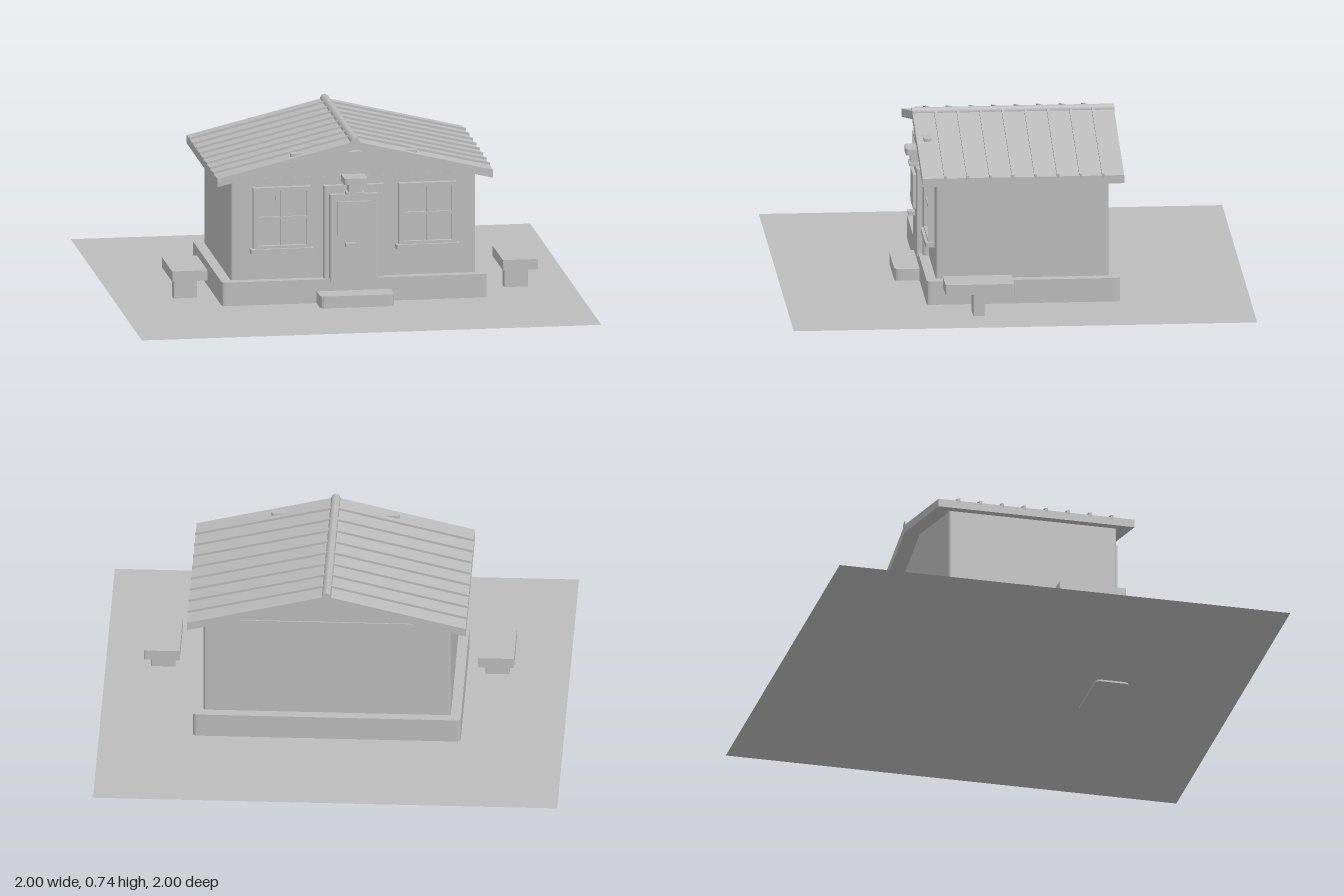
import * as THREE from 'three';

const material = new THREE.MeshStandardMaterial({ color: 0xbcbcbc });
material.name = 'plain grey';
const groundMaterial = material.clone();
groundMaterial.name = 'plain grey two sided';
groundMaterial.side = THREE.DoubleSide;

function add(parent, name, geometry, mat = material) {
  const mesh = new THREE.Mesh(geometry, mat);
  mesh.name = name;
  parent.add(mesh);
  return mesh;
}

// Box given by its limits
function box(parent, name, x0, x1, y0, y1, z0, z1) {
  const g = new THREE.BoxGeometry(x1 - x0, y1 - y0, z1 - z0);
  g.translate((x0 + x1) / 2, (y0 + y1) / 2, (z0 + z1) / 2);
  return add(parent, name, g);
}

// Box with rounded upright edges; rBack rounds the -z corners
function block(parent, name, x0, x1, y0, y1, z0, z1, r, rBack = r) {
  const s = new THREE.Shape();
  // shape y is -z, so the front edge lies at -z1
  s.moveTo(x0 + r, -z1);
  s.lineTo(x1 - r, -z1);
  s.quadraticCurveTo(x1, -z1, x1, -z1 + r);
  s.lineTo(x1, -z0 - rBack);
  if (rBack) s.quadraticCurveTo(x1, -z0, x1 - rBack, -z0);
  s.lineTo(x0 + rBack, -z0);
  if (rBack) s.quadraticCurveTo(x0, -z0, x0, -z0 - rBack);
  s.lineTo(x0, -z1 + r);
  s.quadraticCurveTo(x0, -z1, x0 + r, -z1);
  const g = new THREE.ExtrudeGeometry(s, { depth: y1 - y0, bevelEnabled: false, curveSegments: 4 });
  g.rotateX(-Math.PI / 2).translate(0, y0, 0);
  return add(parent, name, g);
}

// Outline in x and y, drawn out from z0 to z1
function slab(parent, name, points, z0, z1) {
  const s = new THREE.Shape(points.map(([x, y]) => new THREE.Vector2(x, y)));
  const g = new THREE.ExtrudeGeometry(s, { depth: z1 - z0, bevelEnabled: false });
  g.translate(0, 0, z0);
  return add(parent, name, g);
}

function addWindow(house, cx) {
  const w = new THREE.Group();
  w.name = 'window';
  house.add(w);
  const x0 = cx - 0.125, x1 = cx + 0.125;
  box(w, 'glass', x0, x1, 0.25, 0.52, 0.35, 0.362);
  for (const s of [-1, 1]) {
    const x = cx + s * 0.116;
    box(w, 'sideFrame', x - 0.01, x + 0.01, 0.25, 0.52, 0.35, 0.38);
  }
  box(w, 'topFrame', x0, x1, 0.504, 0.52, 0.35, 0.38);
  box(w, 'bottomFrame', x0, x1, 0.25, 0.264, 0.35, 0.38);
  box(w, 'mullion', cx - 0.005, cx + 0.005, 0.25, 0.52, 0.35, 0.373);
  box(w, 'crossbar', x0, x1, 0.38, 0.39, 0.35, 0.373);
  box(w, 'latch', cx - 0.028, cx - 0.021, 0.46, 0.482, 0.36, 0.376);
  block(w, 'sill', cx - 0.138, cx + 0.138, 0.232, 0.252, 0.35, 0.392, 0.008, 0);
}

function addBench(root, cx) {
  const b = new THREE.Group();
  b.name = 'bench';
  root.add(b);
  block(b, 'benchTop', cx - 0.077, cx + 0.077, 0.11, 0.155, 0.035, 0.332, 0.006);
  block(b, 'benchLeg', cx - 0.052, cx + 0.052, 0.008, 0.11, 0.16, 0.21, 0.006);
}

export function createModel() {
  const root = new THREE.Group();
  root.name = 'cottage';

  const ground = new THREE.PlaneGeometry(2, 2);
  ground.rotateX(-Math.PI / 2).translate(0, 0.008, 0);
  add(root, 'ground', ground, groundMaterial);

  const house = new THREE.Group();
  house.name = 'house';
  root.add(house);
  const cx = 0.02;

  // Plinth, walls and gables
  block(house, 'plinth', -0.557, 0.597, 0.008, 0.112, -0.437, 0.395, 0.02);
  block(house, 'walls', -0.513, 0.552, 0.11, 0.557, -0.392, 0.353, 0.012);
  slab(house, 'gables', [[-0.505, 0.55], [0.545, 0.55], [0.545, 0.56], [cx, 0.687], [-0.505, 0.56]], -0.387, 0.352);

  // Roof sheet, standing seams and ridge
  const half = 0.6, ridge = 0.72, eave = 0.575, under = 0.036;
  slab(house, 'roof', [
    [cx - half, eave - under], [cx, ridge - under], [cx + half, eave - under],
    [cx + half, eave], [cx, ridge], [cx - half, eave],
  ], -0.455, 0.415);
  const h = 0.01;
  for (let i = 0; i < 8; i++) {
    const z = 0.316 - i * 0.0972;
    for (const s of [-1, 1]) {
      const pts = [[cx, ridge - h], [cx + s * half, eave - h], [cx + s * (half + 0.002), eave + h], [cx, ridge + h]];
      slab(house, 'roofSeam', pts, z - 0.006, z + 0.006);
    }
  }
  const cap = new THREE.CylinderGeometry(0.02, 0.02, 0.872, 8);
  cap.rotateX(Math.PI / 2).translate(cx, 0.717, -0.02);
  add(house, 'ridgeCap', cap);
  block(house, 'gableBeam', -0.258, 0.296, 0.605, 0.668, 0.352, 0.386, 0.015);

  // Door with frame, pane and letter slot
  block(house, 'doorFrame', -0.112, 0.152, 0.11, 0.52, 0.345, 0.378, 0.012, 0);
  block(house, 'door', -0.088, 0.12, 0.1, 0.485, 0.35, 0.403, 0.008, 0);
  box(house, 'doorPane', -0.055, 0.091, 0.305, 0.455, 0.4, 0.417);
  box(house, 'letterSlot', -0.023, 0.021, 0.257, 0.274, 0.4, 0.432);

  // Lantern over the door
  block(house, 'lanternCap', -0.032, 0.07, 0.535, 0.563, 0.35, 0.445, 0.015, 0);
  box(house, 'lanternBody', -0.01, 0.048, 0.49, 0.54, 0.35, 0.424);
  box(house, 'lanternBase', -0.02, 0.06, 0.485, 0.498, 0.35, 0.43);

  block(house, 'doorstep', -0.145, 0.178, 0, 0.06, 0.354, 0.503, 0.025);

  addWindow(house, -0.293);
  addWindow(house, 0.341);
  addBench(root, -0.688);
  addBench(root, 0.752);
  return root;
}
